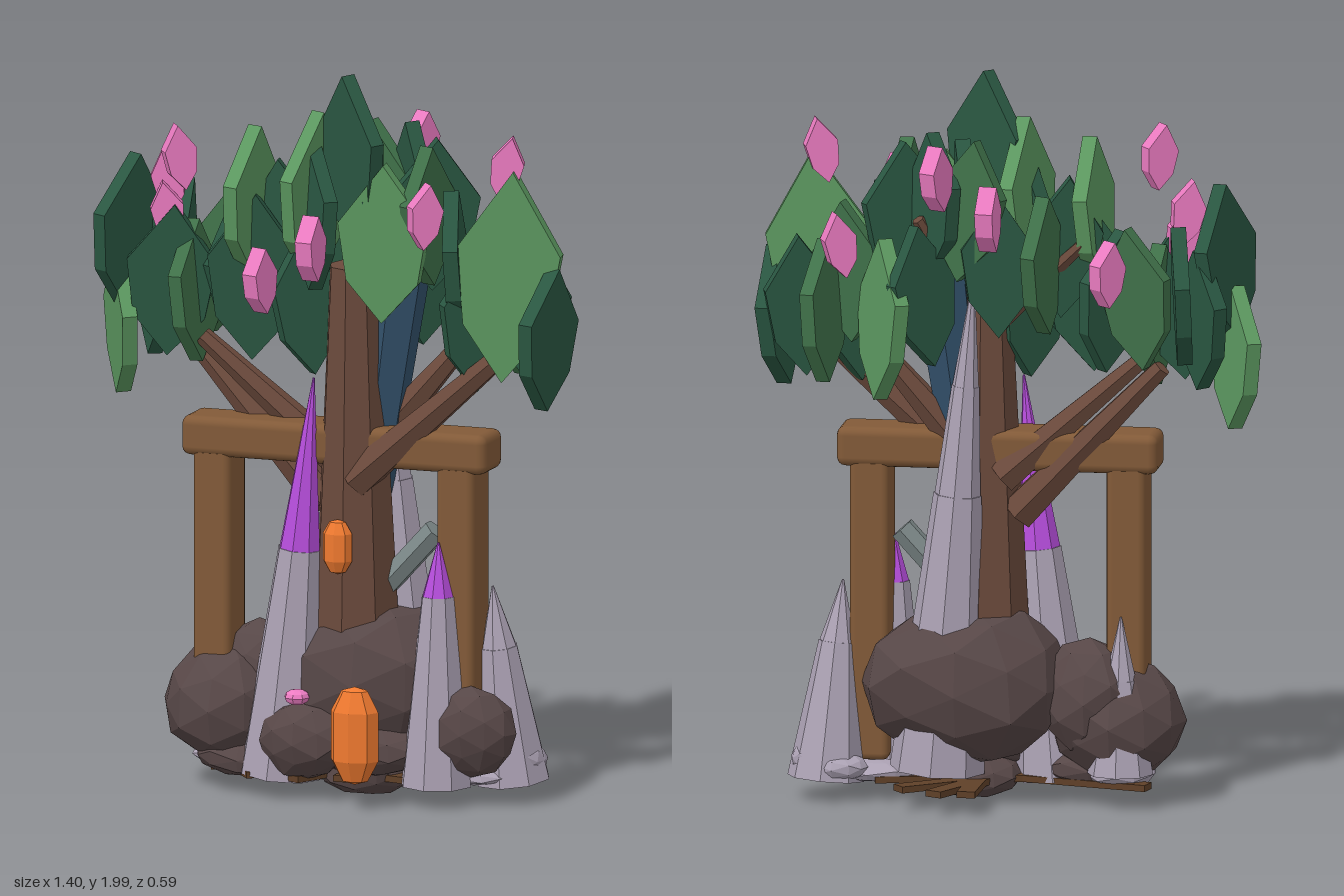
import * as THREE from 'three';
import { RoundedBoxGeometry } from 'three/addons/geometries/RoundedBoxGeometry.js';

const mat = (color) => new THREE.MeshStandardMaterial({ color, flatShading: true });
const M = {
  rock: mat(0x574747), bark: mat(0x6b4a3c), root: mat(0x5f4028),
  stone: mat(0xaca2b4), purple: mat(0xb84ede), blue: mat(0x32506a), metal: mat(0x7c8888),
  dark: mat(0x2a5742), mid: mat(0x40724a), light: mat(0x5c9860), pink: mat(0xec7cc2), orange: mat(0xf07a30),
  wood: new THREE.MeshStandardMaterial({ color: 0x825a38 }),
};
const V = (p) => new THREE.Vector3(...p);

export function createModel() {
  const model = new THREE.Group();
  const add = (name, geo, material, pos = [0, 0, 0], rot = [0, 0, 0]) => {
    const m = new THREE.Mesh(geo, material);
    m.name = name;
    m.position.set(...pos);
    m.rotation.set(rot[0], rot[1], rot[2], 'YXZ');
    model.add(m);
    return m;
  };
  // Tapered rod from point a to point b
  const rod = (name, a, b, ra, rb, sides, material) => {
    const d = V(b).sub(V(a));
    const m = add(name, new THREE.CylinderGeometry(rb, ra, d.length(), sides), material);
    m.position.copy(V(a)).addScaledVector(d, 0.5);
    m.quaternion.setFromUnitVectors(new THREE.Vector3(0, 1, 0), d.normalize());
  };
  // Faceted boulder, corners pushed in and out by a smooth rule
  const boulder = (name, pos, radii, material, seed) => {
    const g = new THREE.IcosahedronGeometry(1, 1);
    const p = g.attributes.position;
    for (let i = 0; i < p.count; i++) {
      const v = new THREE.Vector3().fromBufferAttribute(p, i);
      v.multiplyScalar(1 + 0.06 * Math.sin(v.x * 3.1 + seed) * Math.cos(v.y * 2.7 + v.z * 3.3 + seed * 2));
      p.setXYZ(i, v.x * radii[0], v.y * radii[1], v.z * radii[2]);
    }
    g.computeVertexNormals();
    add(name, g, material, pos);
  };

  // Dark boulders
  [
    [[0.12, 0.33, -0.05], [0.29, 0.225, 0.225]],
    [[-0.29, 0.235, 0], [0.185, 0.17, 0.175]],
    [[-0.22, 0.3, -0.04], [0.14, 0.16, 0.13]],
    [[-0.03, 0.17, 0.12], [0.13, 0.11, 0.105]],
    [[0.43, 0.215, 0.07], [0.13, 0.125, 0.09]],
    [[0.1, 0.07, 0], [0.13, 0.064, 0.11]],
    [[-0.22, 0.1, 0.03], [0.16, 0.06, 0.12]],
    [[0.13, 0.15, 0.06], [0.18, 0.08, 0.11]],
  ].forEach(([p, r], i) => boulder('boulder', p, r, M.rock, i * 1.7 + 0.4));

  // Pale stones at ground level
  [
    [[0.53, 0.12, -0.07], [0.065, 0.05, 0.075]],
    [[0.38, 0.08, -0.02], [0.15, 0.03, 0.1]],
    [[-0.3, 0.09, -0.02], [0.1, 0.035, 0.1]],
    [[0.47, 0.1, -0.1], [0.09, 0.04, 0.07]],
  ].forEach(([p, r], i) => boulder('groundStone', p, r, M.stone, i + 3));

  // Flat roots fanned under the base
  for (let i = 0; i < 5; i++) {
    const yaw = -0.25 + i * 0.45;
    const length = 0.8 - i * 0.1;
    add('flatRoot', new THREE.BoxGeometry(length, 0.018, 0.05), M.root, [0.02 * i, 0.067, -0.02 * i], [0, yaw, 0]);
  }

  // Stone spires: base, tip, rings of [share of height, radius], tip material
  const spire = (base, tip, rings, tipMaterial) => {
    const cuts = [...rings, [1, 0.003]];
    const at = (t) => V(base).lerp(V(tip), t).toArray();
    for (let i = 0; i < rings.length; i++) {
      const [[t0, r0], [t1, r1]] = [cuts[i], cuts[i + 1]];
      const last = t1 === 1;
      rod(last ? 'spireTip' : 'spireSection', at(t0), at(t1), i ? r0 * 0.95 : r0, r1, 8, last ? tipMaterial : M.stone);
    }
  };
  spire([-0.12, 0.06, 0.06], [-0.02, 1.16, 0.08], [[0, 0.12], [0.57, 0.061]], M.purple);
  spire([0.33, 0.06, 0.07], [0.34, 0.73, 0.08], [[0, 0.1], [0.78, 0.046]], M.purple);
  spire([0.5, 0.06, -0.07], [0.46, 0.6, -0.02], [[0, 0.105], [0.69, 0.052]], M.stone);
  spire([0.19, 0.1, -0.1], [0.09, 1.46, -0.1], [[0, 0.13], [0.56, 0.066], [0.78, 0.038]], M.stone);
  spire([-0.31, 0.1, -0.09], [-0.31, 0.53, -0.08], [[0, 0.09], [0.6, 0.045]], M.stone);

  // Trunk and branches
  rod('trunk', [0.07, 0.2, -0.02], [0.08, 1.47, 0.03], 0.135, 0.07, 8, M.bark);
  [
    [[-0.02, 0.8, -0.03], [-0.42, 1.22, -0.06], 0.055],
    [[0.02, 0.9, -0.05], [-0.37, 1.24, 0], 0.05],
    [[0.09, 0.88, 0.06], [0.54, 1.28, 0.04], 0.055],
    [[0.12, 0.97, -0.03], [0.39, 1.29, -0.06], 0.05],
    [[0.08, 1.3, 0], [0.24, 1.62, -0.12], 0.035],
    [[0.06, 1.3, 0], [-0.2, 1.55, -0.05], 0.035],
  ].forEach(([a, b, r]) => rod('branch', a, b, r, r * 0.5, 6, M.bark));

  // Blue leaning beam and short metal bar
  rod('blueBeam', [0.11, 0.82, -0.02], [0.2, 1.52, -0.03], 0.055, 0.085, 6, M.blue);
  rod('metalBar', [0.15, 0.58, -0.01], [0.3, 0.745, -0.01], 0.036, 0.036, 6, M.metal);

  // Wooden gate
  add('gateBeam', new RoundedBoxGeometry(0.88, 0.11, 0.15, 2, 0.025), M.wood, [0.033, 0.975, 0.005]);
  for (const x of [-0.32, 0.383]) add('gatePost', new RoundedBoxGeometry(0.108, 0.84, 0.14, 2, 0.02), M.wood, [x, 0.53, 0.005]);

  // Pointed slab shared by leaves and blossoms
  const slab = (w, h, t) => {
    const half = [[0.4, -0.24], [0.5, 0.12]];
    const outline = [[0, -0.5], ...half, [0, 0.5], ...half.map(([x, y]) => [-x, y]).reverse()];
    const shape = new THREE.Shape(outline.map(([x, y]) => new THREE.Vector2(x * w, y * h)));
    return new THREE.ExtrudeGeometry(shape, { depth: t, bevelEnabled: false }).translate(0, 0, -t / 2);
  };
  const leaf = (x, y, z, w, h, yaw, roll, material) =>
    add('leaf', slab(w, h, 0.042), material, [x, y, z], [0.05, yaw, roll]);

  // Large outer leaves by shade: x, y, z, height, yaw
  const outer = {
    dark: [
      [0.08, 1.77, 0.06, 0.46, -0.6], [0.65, 1.31, 0.07, 0.39, 1.35], [-0.46, 1.39, 0, 0.42, 0.25],
      [-0.59, 1.51, -0.02, 0.43, 1.15], [-0.21, 1.42, 0.03, 0.46, 0.3], [0.28, 1.61, -0.05, 0.42, 0.5],
    ],
    light: [
      [0.19, 1.55, 0.1, 0.44, 0.1], [0.535, 1.475, 0.06, 0.59, 0.15], [-0.62, 1.25, -0.04, 0.39, -1],
      [-0.22, 1.63, 0.03, 0.41, 1.4], [-0.04, 1.65, 0.02, 0.47, 1.25], [0.33, 1.35, -0.16, 0.44, -1],
    ],
  };
  for (const [shade, leaves] of Object.entries(outer)) {
    leaves.forEach(([x, y, z, h, yaw]) => leaf(x, y, z, 0.14 + h * 0.25, h, yaw, -0.12 * Math.abs(x), M[shade]));
  }

  // Inner leaves fill the crown, turning by a fixed step
  [
    [0.43, 1.34, 0.03], [0.5, 1.36, -0.11], [-0.49, 1.44, -0.17], [-0.53, 1.36, -0.08],
    [-0.36, 1.42, -0.12], [-0.15, 1.54, -0.03], [-0.05, 1.36, 0.05], [-0.1, 1.5, -0.1],
    [0.37, 1.5, 0.03], [0.2, 1.66, -0.1], [0.1, 1.65, -0.13], [0.02, 1.5, -0.13],
    [0.22, 1.42, -0.17], [0.29, 1.62, 0.03], [0.13, 1.62, 0.03], [-0.02, 1.6, 0.07],
    [0.44, 1.46, -0.05], [0.57, 1.36, -0.04], [-0.28, 1.4, -0.06], [-0.4, 1.36, -0.02],
  ].forEach(([x, y, z], i) => leaf(x, y, z, 0.2, 0.39, 0.7 + i * 0.53, 0.12 * Math.sin(i * 2), [M.dark, M.mid, M.dark][i % 3]));

  // Pink blossoms, turned edge-on toward the middle of the crown
  [
    [0.03, 1.55, 0.24], [-0.12, 1.45, 0.23], [0.34, 1.65, 0.19], [-0.38, 1.76, 0.15],
    [0.53, 1.77, 0.06], [0.17, 1.76, -0.25], [0.03, 1.65, -0.24], [0.45, 1.55, -0.15],
    [-0.29, 1.5, -0.2], [-0.49, 1.65, -0.06], [-0.47, 1.57, 0],
  ].forEach(([x, y, z]) => add('blossom', slab(0.09, 0.18, 0.05), M.pink, [x, y, z],
    [0, Math.max(0.3, 1.5 - 2.4 * Math.abs(x)), -0.35 * x]));

  // Orange lanterns and a small pink bud
  const lantern = (pos, r, h) => {
    const half = [[1, 0.25], [0.55, 0.46], [0, 0.5]];
    const profile = [...half.map(([x, y]) => [x, -y]).reverse(), ...half];
    const points = profile.map(([x, y]) => new THREE.Vector2(x * r, y * h));
    add('lantern', new THREE.LatheGeometry(points, 8), M.orange, pos).scale.z = 0.75;
  };
  lantern([0.15, 0.21, 0.22], 0.068, 0.27);
  lantern([0.06, 0.705, 0.11], 0.042, 0.15);
  add('bud', new THREE.SphereGeometry(0.036, 8, 6), M.pink, [-0.035, 0.295, 0.17]).scale.y = 0.6;

  return model;
}
